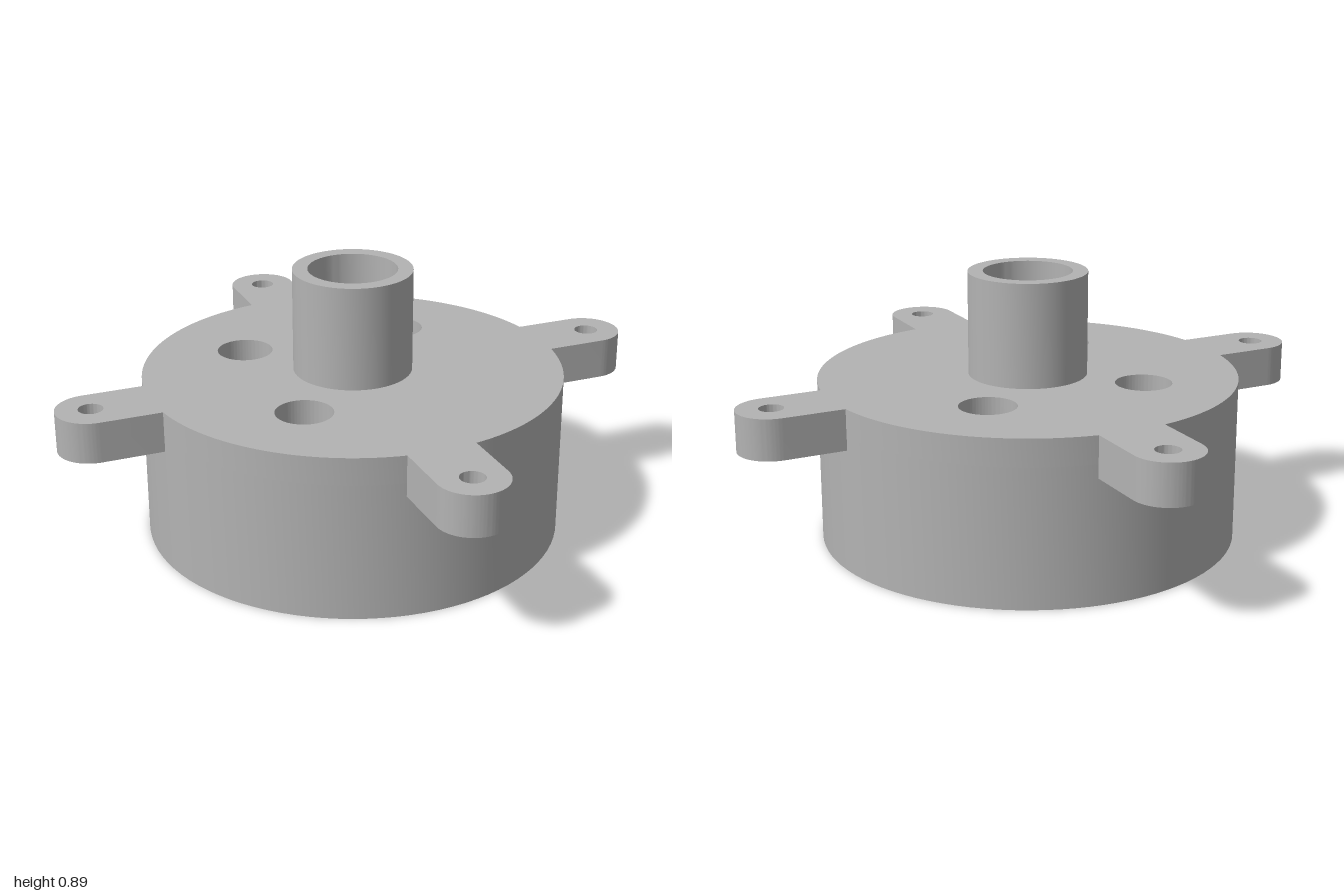
import * as THREE from 'three';
import { toCreasedNormals } from 'three/addons/utils/BufferGeometryUtils.js';

const BODY_R = 0.695, TOP = 0.545, CEILING = 0.455;

export function createModel() {
  const model = new THREE.Group();
  const grey = new THREE.MeshStandardMaterial({ color: 0xb3b3b3 });
  grey.name = 'plain grey';

  const add = (name, geometry) => {
    const mesh = new THREE.Mesh(toCreasedNormals(geometry, 0.5), grey);
    mesh.name = name;
    model.add(mesh);
    return mesh;
  };
  const lathe = (profile) =>
    new THREE.LatheGeometry(profile.map(([r, y]) => new THREE.Vector2(r, y)), 96);
  // Flat slab lying between two heights
  const slab = (shape, y0, y1, curveSegments) =>
    new THREE.ExtrudeGeometry(shape, { depth: y1 - y0, bevelEnabled: false, curveSegments })
      .rotateX(-Math.PI / 2).translate(0, y0, 0);
  const hole = (x, y, r) => new THREE.Path().absarc(x, y, r, 0, Math.PI * 2, true);

  // Skirt wall, with two square grooves cut into its inside
  const inner = 0.622, groove = 0.664;
  add('skirtWall', lathe([
    [inner, CEILING],
    [inner, 0.332], [groove, 0.332], [groove, 0.27], [inner, 0.27],
    [inner, 0.177], [groove, 0.177], [groove, 0.115], [inner, 0.115],
    [inner, 0], [BODY_R, 0], [BODY_R, CEILING],
  ]));

  // Top plate with three through holes
  const disc = new THREE.Shape().absarc(0, 0, BODY_R, 0, Math.PI * 2, false);
  for (const [x, z] of [[-0.28, -0.28], [0.28, -0.28], [-0.28, 0.28]]) {
    disc.holes.push(hole(x, -z, 0.093));
  }
  add('topPlate', slab(disc, CEILING, TOP, 96));

  // Central tube, closed at the bottom by the plate
  add('centralTube', lathe([
    [0.197, TOP], [0.197, 0.89], [0.147, 0.89], [0.147, TOP],
  ]));

  // Four rounded mounting ears, their inner ends following the wall
  const w = 0.113, a = Math.asin(w / 0.692);
  const ear = new THREE.Shape();
  ear.absarc(1 - w, 0, w, -Math.PI / 2, Math.PI / 2, false);
  ear.absarc(0, 0, 0.692, a, -a, true);
  ear.closePath();
  ear.holes.push(hole(1 - w, 0, 0.04));
  ['leftEar', 'backEar', 'rightEar', 'frontEar'].forEach((name, i) => {
    add(name, slab(ear, 0.41, TOP, 32)).rotation.y = i * Math.PI / 2;
  });

  return model;
}
